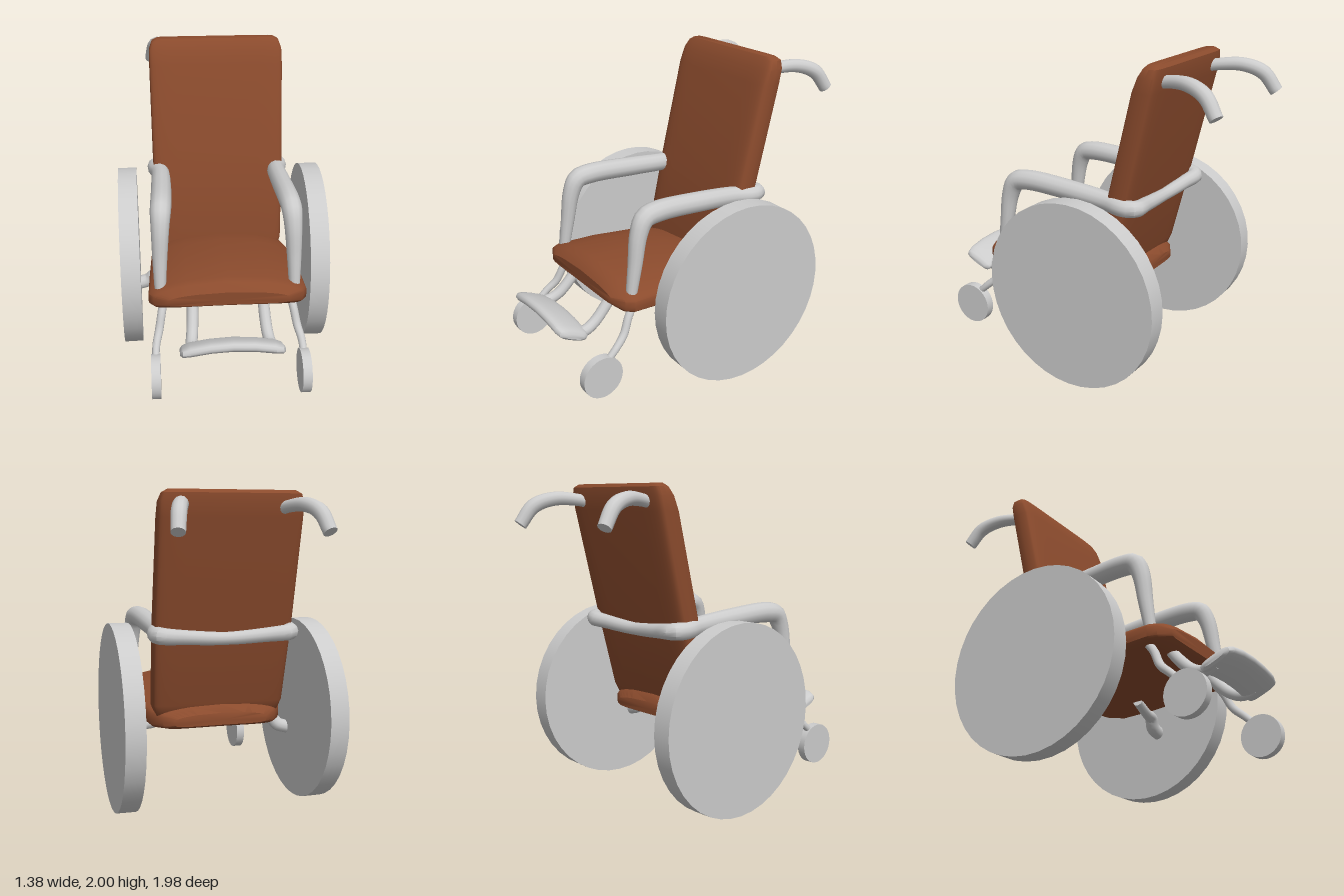
import * as THREE from 'three';
import { toCreasedNormals } from 'three/addons/utils/BufferGeometryUtils.js';

const grey = new THREE.MeshStandardMaterial({ color: 0xcccccc });
const leather = new THREE.MeshStandardMaterial({ color: 0x8b4b2d });
const V = (x, y, z) => new THREE.Vector3(x, y, z);

// Skin over a list of equal-length rings, with flat end caps
function loft(rings) {
  const m = rings[0].length, pos = [], idx = [];
  const mid = (r) => r.reduce((s, p) => s.add(p), V(0, 0, 0)).divideScalar(m);
  const all = [...rings.flat(), mid(rings[0]), mid(rings[rings.length - 1])];
  all.forEach((p) => pos.push(p.x, p.y, p.z));
  const last = (rings.length - 1) * m, c = all.length;
  for (let j = 0; j < m; j++) {
    const k = (j + 1) % m;
    for (let i = 0; i < last; i += m) {
      idx.push(i + j, i + k, i + m + j, i + k, i + m + k, i + m + j);
    }
    idx.push(c - 2, k, j, c - 1, last + j, last + k);
  }
  const geo = new THREE.BufferGeometry();
  geo.setAttribute('position', new THREE.Float32BufferAttribute(pos, 3));
  geo.setIndex(idx);
  return toCreasedNormals(geo, 0.7);
}

// Unit rounded-rectangle outline, as [u, v] pairs
function outline(power, n = 32) {
  const f = (v) => Math.sign(v) * Math.abs(v) ** power;
  return Array.from({ length: n }, (_, i) => {
    const a = (i / n) * Math.PI * 2;
    return [f(Math.cos(a)), f(Math.sin(a))];
  });
}

// Round bar through points [x, y, z, radius]
function bar(points, steps = 24, sides = 12) {
  const curve = new THREE.CatmullRomCurve3(points.map((p) => V(p[0], p[1], p[2])));
  const fr = curve.computeFrenetFrames(steps, false);
  const rings = [];
  for (let i = 0; i <= steps; i++) {
    const t = curve.getUtoTmapping(i / steps) * (points.length - 1);
    const k = Math.min(Math.floor(t), points.length - 2);
    const r = THREE.MathUtils.lerp(points[k][3], points[k + 1][3], t - k);
    const c = curve.getPointAt(i / steps);
    rings.push(outline(1, sides).map(([u, v]) => c.clone()
      .addScaledVector(fr.normals[i], u * r).addScaledVector(fr.binormals[i], v * r)));
  }
  return loft(rings);
}

export function createModel() {
  const model = new THREE.Group();
  const add = (name, geo, mat = grey) => {
    const mesh = new THREE.Mesh(geo, mat);
    mesh.name = name;
    model.add(mesh);
    return mesh;
  };

  // Backrest: [y, z, half width, half depth]
  add('backrest', loft([
    [0.58, -0.2, 0.36, 0.035], [0.61, -0.203, 0.4, 0.065], [0.68, -0.215, 0.425, 0.08],
    [1.2, -0.34, 0.44, 0.082], [1.84, -0.495, 0.445, 0.08], [1.93, -0.522, 0.443, 0.07],
    [1.98, -0.537, 0.425, 0.055], [2.0, -0.535, 0.39, 0.035],
  ].map(([y, z, w, d]) => outline(0.3).map(([u, v]) => V(v * w, y, z + u * d)))), leather);

  // Seat cushion, crowned in the middle: [z, y, half width, half height, crown]
  add('seat', loft([
    [-0.33, 0.575, 0.3, 0.03, 0.02], [-0.29, 0.58, 0.37, 0.055, 0.04],
    [-0.2, 0.585, 0.43, 0.07, 0.06], [0, 0.61, 0.472, 0.07, 0.07],
    [0.3, 0.64, 0.483, 0.065, 0.08], [0.56, 0.65, 0.49, 0.06, 0.075],
    [0.61, 0.655, 0.46, 0.055, 0.065], [0.655, 0.665, 0.37, 0.03, 0.03],
  ].map(([z, y, w, h, crown]) => outline(0.4).map(([u, v]) =>
    V(u * w, y + v * h + crown * (1 - u * u) * (v > 0 ? 1 : 0.15), z)))), leather);

  // Footrest plate, arched across and tilted up at the front: [x, half depth, half thickness]
  const plate = [[0.31, 0.07, 0.015], [0.295, 0.1, 0.03], [0.25, 0.113, 0.036], [0.13, 0.115, 0.036]];
  const tilt = 0.42;
  add('footrest', loft([
    ...plate.map(([x, d, t]) => [-x, d, t]), [0, 0.115, 0.036], ...[...plate].reverse(),
  ].map(([x, d, t]) => outline(0.7, 20).map(([u, v]) => V(
    x,
    0.465 + 0.04 * (1 - (x / 0.31) ** 2) + u * t * Math.cos(tilt) + v * d * Math.sin(tilt),
    0.88 + v * d * Math.cos(tilt) - u * t * Math.sin(tilt))))));

  // Armrests joined by a bar behind the backrest
  const half = [
    [0.415, 0.7, 0.54, 0.035], [0.412, 0.88, 0.51, 0.045], [0.405, 1.08, 0.475, 0.056],
    [0.4, 1.165, 0.43, 0.064], [0.395, 1.185, 0.34, 0.066], [0.39, 1.17, 0, 0.064],
    [0.395, 1.15, -0.25, 0.06], [0.425, 1.14, -0.38, 0.055], [0.4, 1.138, -0.445, 0.052],
    [0.25, 1.125, -0.44, 0.045],
  ];
  add('armrestFrame', bar([
    ...half, [0, 1.11, -0.425, 0.04],
    ...[...half].reverse().map(([x, ...rest]) => [-x, ...rest]),
  ], 120));

  // Paired parts
  for (const s of [1, -1]) {
    const side = s > 0 ? 'left' : 'right';
    const sideBar = (name, pts) => add(side + name, bar(pts.map(([x, ...r]) => [s * x, ...r])));

    sideBar('PushHandle', [
      [0.3, 1.88, -0.5, 0.036], [0.325, 1.905, -0.62, 0.038], [0.37, 1.91, -0.76, 0.043],
      [0.41, 1.865, -0.88, 0.046], [0.435, 1.755, -0.96, 0.042]]);

    sideBar('FootrestLeg', [
      [0.22, 0.62, 0.56, 0.035], [0.222, 0.555, 0.61, 0.036], [0.23, 0.47, 0.7, 0.036],
      [0.24, 0.44, 0.78, 0.036], [0.245, 0.46, 0.86, 0.03]]);

    sideBar('CasterFork', [
      [0.39, 0.63, 0.5, 0.026], [0.41, 0.55, 0.56, 0.026], [0.43, 0.45, 0.61, 0.026],
      [0.45, 0.385, 0.68, 0.024], [0.455, 0.32, 0.75, 0.022]]);

    sideBar('Axle', [
      [0.22, 0.55, 0.03, 0.03], [0.36, 0.51, 0.01, 0.033], [0.445, 0.505, -0.01, 0.042],
      [0.49, 0.455, -0.025, 0.045], [0.565, 0.43, -0.025, 0.045]]);

    // Rear wheels toe in slightly
    const wheel = add(side + 'RearWheel',
      new THREE.CylinderGeometry(0.595, 0.595, 0.122, 40).rotateZ(Math.PI / 2));
    wheel.position.set(s * 0.612, 0.595, -0.14);
    wheel.rotation.y = -s * 0.027;

    const caster = add(side + 'CasterWheel',
      new THREE.CylinderGeometry(0.135, 0.135, 0.056, 32).rotateZ(Math.PI / 2));
    caster.position.set(s * 0.455, 0.235, 0.79);
  }
  return model;
}
